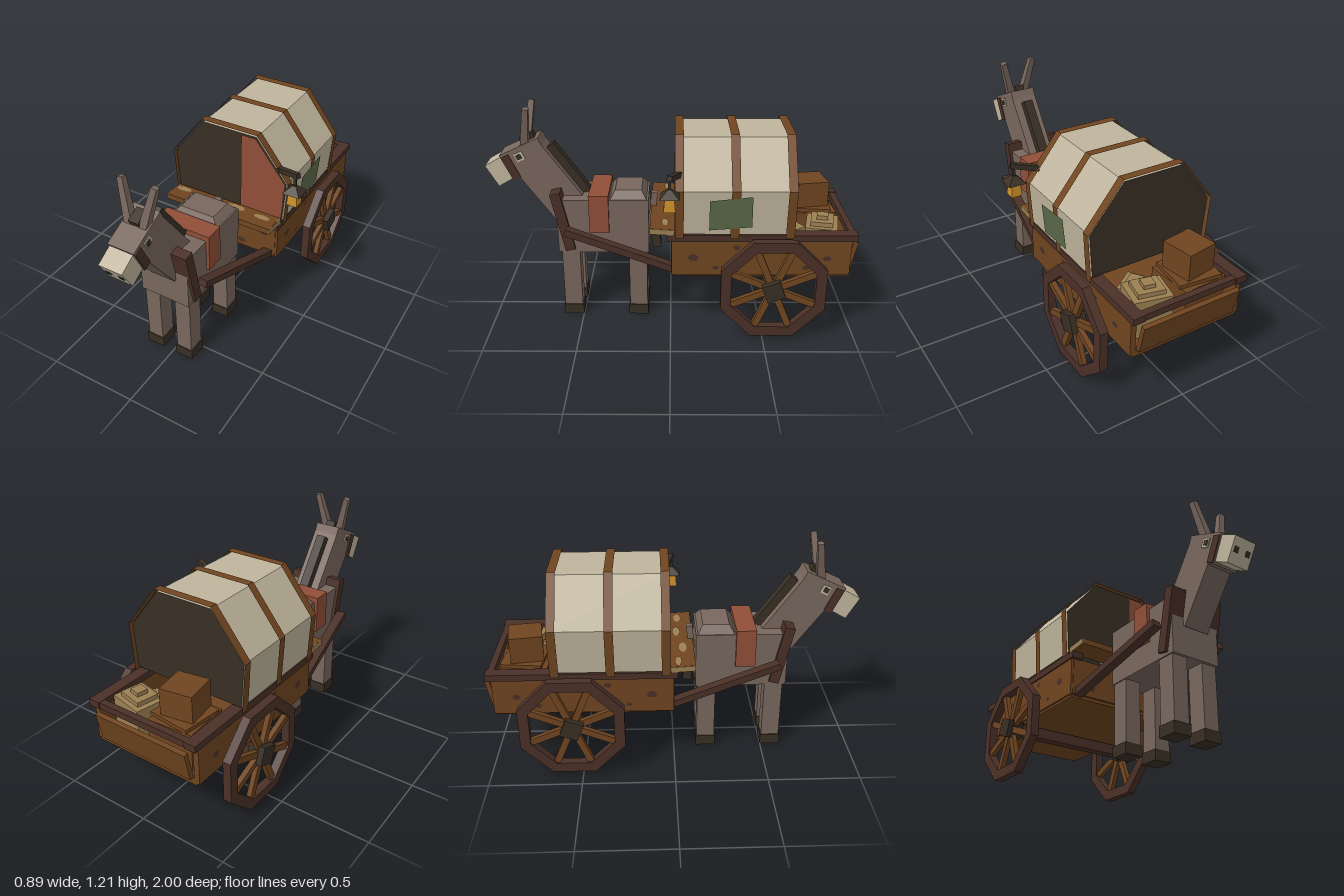
import * as THREE from 'three';

const mat = (name, color) => new THREE.MeshStandardMaterial({ name, color, flatShading: true, side: THREE.DoubleSide });

export function createModel() {
  const hide = mat('hide', 0x78675d), dark = mat('dark', 0x382f24), wood = mat('wood', 0x704520),
    darkWood = mat('darkWood', 0x4a3027), canvas = mat('canvas', 0xc0b59d), red = mat('redCloth', 0x914e38),
    green = mat('greenPatch', 0x5c6b4a), straw = mat('straw', 0x9c8053), glow = mat('lampGlass', 0xcc9029);

  const model = new THREE.Group();
  const root = new THREE.Group();
  root.name = 'donkeyAndCart';
  root.position.x = -0.02;
  model.add(root);

  const add = (parent, name, geo, m, pos = [0, 0, 0], rot = [0, 0, 0]) => {
    const mesh = new THREE.Mesh(geo, m);
    mesh.name = name;
    mesh.position.set(...pos);
    mesh.rotation.set(...rot);
    parent.add(mesh);
    return mesh;
  };
  const box = (parent, name, size, m, pos, rot) => add(parent, name, new THREE.BoxGeometry(...size), m, pos, rot);
  // Square beam running between two points
  const beam = (parent, name, a, b, w, h, m) => {
    const A = new THREE.Vector3(...a), B = new THREE.Vector3(...b);
    const mesh = new THREE.Mesh(new THREE.BoxGeometry(w, h, A.distanceTo(B)), m);
    mesh.name = name;
    mesh.position.copy(A).add(B).multiplyScalar(0.5);
    mesh.lookAt(B);
    parent.add(mesh);
  };
  const group = (name) => {
    const g = new THREE.Group();
    g.name = name;
    root.add(g);
    return g;
  };
  const plate = (pts) => new THREE.ShapeGeometry(new THREE.Shape(pts.map((p) => new THREE.Vector2(...p))));
  const faces = (tris) => {
    const g = new THREE.BufferGeometry();
    g.setAttribute('position', new THREE.Float32BufferAttribute(tris.flat(), 3));
    g.computeVertexNormals();
    return g;
  };
  // Open strip following a profile from z0 back to z1
  const ribbon = (pts, z0, z1) => {
    const t = [];
    for (let i = 0; i < pts.length - 1; i++) {
      const [a, b] = [pts[i], pts[i + 1]];
      t.push([...a, z0], [...b, z1], [...a, z1], [...a, z0], [...b, z0], [...b, z1]);
    }
    return faces(t);
  };

  // ---- Donkey ----
  const donkey = group('donkey');
  box(donkey, 'body', [0.29, 0.31, 0.5], hide, [0, 0.555, 0.37]);
  const rump = new THREE.CylinderGeometry(0.1, 0.14, 0.045, 4, 1).rotateY(Math.PI / 4);
  rump.scale(Math.SQRT2, 1, Math.SQRT2 * 0.72);
  add(donkey, 'rump', rump, hide, [0, 0.73, 0.23]);
  box(donkey, 'blanket', [0.325, 0.215, 0.108], red, [0, 0.633, 0.39]);
  box(donkey, 'collar', [0.325, 0.34, 0.055], darkWood, [0, 0.585, 0.588], [0.21, 0, 0]);
  for (const s of [-1, 1]) {
    for (const z of [0.182, 0.555]) {
      box(donkey, 'leg', [0.09, 0.37, 0.1], hide, [s * 0.093, 0.225, z]);
      box(donkey, 'hoof', [0.103, 0.06, 0.11], dark, [s * 0.093, 0.03, z]);
    }
  }
  box(donkey, 'tail', [0.04, 0.2, 0.035], hide, [0, 0.605, 0.1], [-0.1, 0, 0]);
  box(donkey, 'tailTip', [0.06, 0.125, 0.05], dark, [0, 0.435, 0.085], [0.12, 0, 0]);
  box(donkey, 'neck', [0.148, 0.4, 0.21], hide, [0, 0.777, 0.66], [0.62, 0, 0]);
  box(donkey, 'mane', [0.055, 0.33, 0.045], dark, [0, 0.848, 0.555], [0.62, 0, 0]);

  const head = new THREE.Group();
  head.name = 'head';
  head.position.set(0, 0.917, 0.78);
  head.rotation.x = 0.437;
  donkey.add(head);
  box(head, 'skull', [0.148, 0.16, 0.235], hide);
  box(head, 'forelock', [0.055, 0.04, 0.08], dark, [0, 0.09, -0.05]);
  for (const s of [-1, 1]) {
    box(head, 'noseband', [0.006, 0.14, 0.045], darkWood, [s * 0.076, -0.005, 0.092]);
    box(head, 'eye', [0.006, 0.048, 0.048], canvas, [s * 0.076, 0.03, 0.02]);
    box(head, 'pupil', [0.006, 0.028, 0.028], dark, [s * 0.079, 0.03, 0.024]);
    const ear = new THREE.CylinderGeometry(0.022, 0.031, 0.23, 4).rotateY(Math.PI / 4);
    add(donkey, 'ear', ear, hide, [s * 0.066, 1.095, 0.77], [-0.14, 0, -s * 0.24]);
  }
  const muzzle = box(donkey, 'muzzle', [0.132, 0.135, 0.105], canvas, [0, 0.846, 0.925], [0.52, 0, 0]);
  for (const s of [-1, 1]) box(muzzle, 'nostril', [0.026, 0.03, 0.006], dark, [s * 0.037, 0.005, 0.053]);

  // ---- Cart body ----
  const cart = group('cart');
  box(cart, 'floor', [0.62, 0.035, 0.94], wood, [0, 0.36, -0.485]);
  box(cart, 'frontBoard', [0.62, 0.2, 0.03], wood, [0, 0.46, -0.017]);
  box(cart, 'tailgate', [0.56, 0.16, 0.025], wood, [0, 0.452, -0.972], [-0.2, 0, 0]);
  box(cart, 'backRail', [0.56, 0.035, 0.035], darkWood, [0, 0.573, -0.96]);
  const spots = [[-0.12, 0.46, 0.03], [-0.24, 0.4, 0.018], [-0.35, 0.52, 0.022], [-0.66, 0.5, 0.016], [-0.83, 0.455, 0.024], [-0.72, 0.4, 0.02]];
  for (const s of [-1, 1]) {
    box(cart, 'sideBoard', [0.03, 0.21, 0.95], wood, [s * 0.308, 0.46, -0.48]);
    box(cart, 'sideRail', [0.065, 0.036, 1.0], darkWood, [s * 0.298, 0.574, -0.483]);
    for (const [z, y, r] of spots) {
      const spot = new THREE.CircleGeometry(r, 6).scale(1, 0.7, 1);
      add(cart, 'woodStain', spot, darkWood, [s * 0.325, y, z], [0, s * Math.PI / 2, 0]);
    }
    beam(cart, 'shaft', [s * 0.27, 0.37, -0.02], [s * 0.2, 0.555, 0.57], 0.052, 0.038, darkWood);
  }
  [[-0.2, 0.41, 0.03], [0.24, 0.5, 0.025], [0.1, 0.4, 0.03], [-0.1, 0.52, 0.02]].forEach(([x, y, r]) =>
    add(cart, 'woodStain', new THREE.CircleGeometry(r, 6).scale(1, 0.6, 1), darkWood, [x, y, 0.001]));

  // Driver's bench with worn patches
  box(cart, 'bench', [0.65, 0.032, 0.13], wood, [0, 0.61, 0.045], [-0.06, 0, 0]);
  for (const s of [-1, 1]) box(cart, 'benchEnd', [0.006, 0.03, 0.128], straw, [s * 0.327, 0.61, 0.045], [-0.06, 0, 0]);
  [[-0.27, 0.02, 0.05], [-0.12, 0.05, 0.055], [0.07, 0.02, 0.06], [0.24, 0.03, 0.05]].forEach(([x, z, r]) =>
    add(cart, 'wornPatch', new THREE.CircleGeometry(r, 7).scale(1, 0.4, 1), straw, [x, 0.629, z], [-Math.PI / 2 - 0.06, 0, 0]));

  // ---- Wheels ----
  const ring = (r) => Array.from({ length: 8 }, (_, i) => {
    const a = (i + 0.5) * Math.PI / 4;
    return new THREE.Vector2(Math.cos(a) * r, Math.sin(a) * r);
  });
  const rimShape = new THREE.Shape(ring(0.302));
  rimShape.holes.push(new THREE.Path(ring(0.242)));
  const rimGeo = new THREE.ExtrudeGeometry(rimShape, { depth: 0.046, bevelEnabled: false })
    .translate(0, 0, -0.023).rotateY(Math.PI / 2);
  box(cart, 'axle', [0.74, 0.06, 0.06], darkWood, [0, 0.303, -0.54]);
  for (const s of [-1, 1]) {
    const wheel = new THREE.Group();
    wheel.name = 'wheel';
    wheel.position.set(s * 0.379, 0.303, -0.545);
    cart.add(wheel);
    add(wheel, 'rim', rimGeo, darkWood);
    box(wheel, 'hub', [0.09, 0.1, 0.1], dark, [0, 0, 0], [0.35, 0, 0]);
    for (let i = 0; i < 4; i++)
      box(wheel, 'spokePair', [0.028, 0.52, 0.036], wood, [0, 0, 0], [(i + 0.5) * Math.PI / 4, 0, 0]);
  }

  // ---- Canvas cover ----
  const cover = group('cover');
  const arch = [[0.33, 0.6], [0.347, 0.845], [0.163, 1.077], [-0.163, 1.077], [-0.347, 0.845], [-0.33, 0.6]];
  const hoop = [[0.342, 0.58], [0.36, 0.85], [0.17, 1.092], [-0.17, 1.092], [-0.36, 0.85], [-0.342, 0.58]];
  add(cover, 'canvas', ribbon(arch, -0.03, -0.635), canvas);
  for (const z of [-0.022, -0.311, -0.6]) add(cover, 'hoop', ribbon(hoop, z, z - 0.046), wood);
  add(cover, 'frontOpening', plate(arch), dark, [0, 0, -0.032]);
  add(cover, 'backOpening', plate(arch), dark, [0, 0, -0.632]);
  add(cover, 'curtain', plate([[0.075, 0.57], [0.32, 0.57], [0.343, 0.845], [0.16, 1.07], [0.075, 1.07]]), red, [0, 0, -0.025]);
  const p = [[0.362, 0.8, -0.2], [0.366, 0.825, -0.418], [0.35, 0.65, -0.422], [0.346, 0.63, -0.2]];
  add(cover, 'patch', faces([p[0], p[2], p[1], p[0], p[3], p[2]]), green);

  // ---- Cargo ----
  const cargo = group('cargo');
  box(cargo, 'lowerCrate', [0.25, 0.2, 0.25], wood, [-0.12, 0.478, -0.8], [0, 0.06, 0]);
  box(cargo, 'lid', [0.235, 0.02, 0.22], wood, [-0.12, 0.588, -0.8], [0, -0.1, 0]);
  box(cargo, 'upperCrate', [0.175, 0.145, 0.175], wood, [-0.12, 0.67, -0.79], [0, 0.16, 0]);
  box(cargo, 'sack', [0.2, 0.21, 0.17], straw, [0.145, 0.483, -0.825], [0, -0.22, 0]);
  box(cargo, 'sackTop', [0.14, 0.025, 0.12], straw, [0.145, 0.6, -0.825], [0, -0.22, 0]);
  box(cargo, 'sackKnot', [0.06, 0.025, 0.06], straw, [0.145, 0.622, -0.825], [0, -0.22, 0]);
  box(cargo, 'smallSack', [0.15, 0.15, 0.13], straw, [0.12, 0.453, -0.69], [0, 0.6, 0]);
  box(cargo, 'smallSackTop', [0.08, 0.025, 0.07], straw, [0.12, 0.54, -0.69], [0, 0.6, 0]);

  // ---- Lantern ----
  const lantern = group('lantern');
  const pyramid = (top, bottom, h) => new THREE.CylinderGeometry(top * Math.SQRT2, bottom * Math.SQRT2, h, 4).rotateY(Math.PI / 4);
  beam(lantern, 'bracket', [0.29, 0.918, -0.045], [0.43, 0.948, 0.005], 0.028, 0.028, dark);
  box(lantern, 'hanger', [0.014, 0.06, 0.014], dark, [0.413, 0.91, 0.005]);
  add(lantern, 'lanternRoof', pyramid(0.01, 0.049, 0.04), dark, [0.413, 0.866, 0.005]);
  add(lantern, 'glass', pyramid(0.024, 0.03, 0.074), glow, [0.413, 0.81, 0.005]);

  return model;
}
